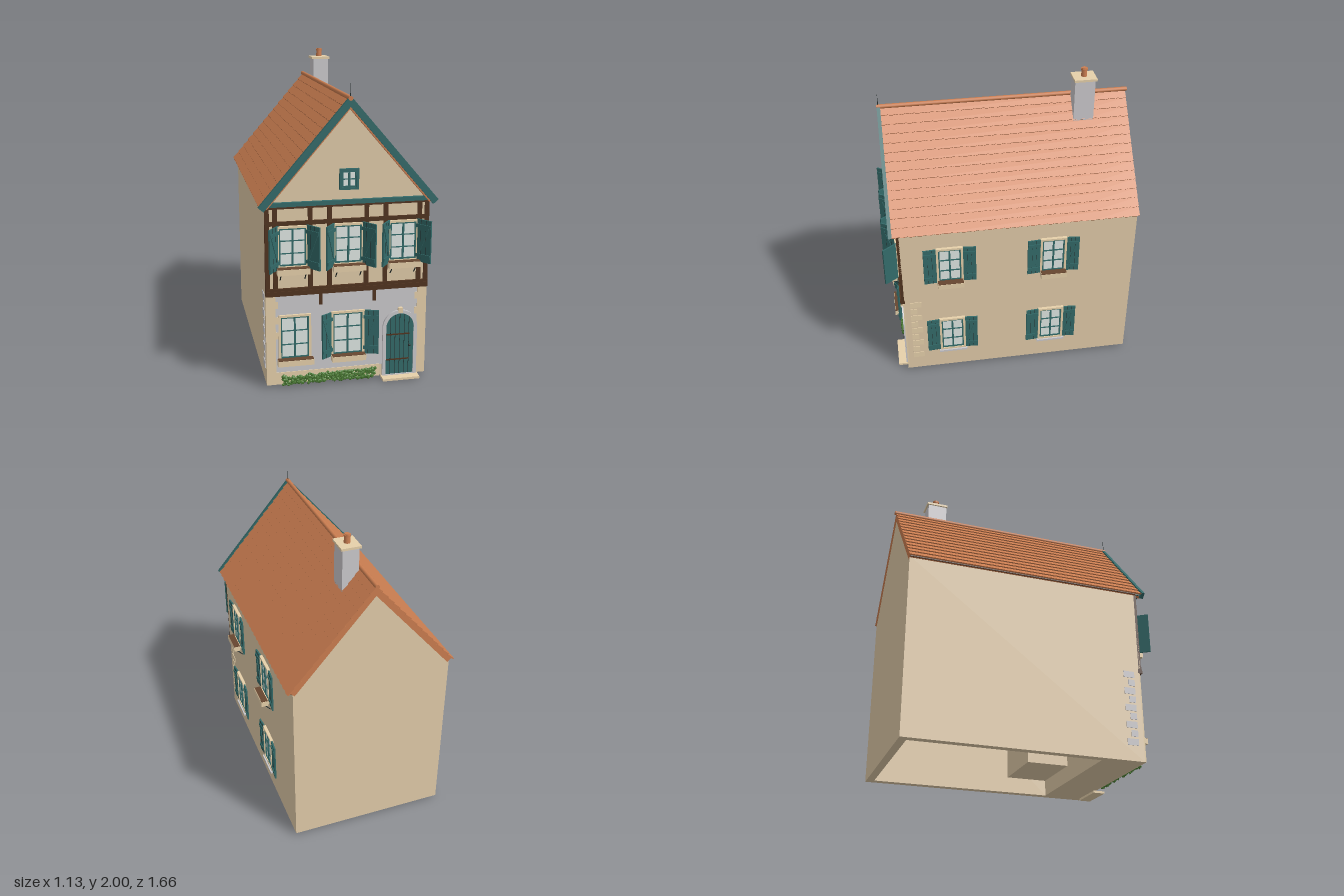
import * as THREE from 'three';

const mat = (name, color) => Object.assign(new THREE.MeshStandardMaterial({ color }), { name });
const M = {
  wall: mat('sand plaster', 0xe0caa8), stone: mat('pale sandstone', 0xe6d0aa),
  grey: mat('grey plaster', 0xcbc9cc), tile: mat('terracotta tile', 0xca7d50),
  teal: mat('teal paint', 0x336a69), wood: mat('dark timber', 0x50331f),
  glass: mat('pale glass', 0xe0e8e4), leaf: mat('hedge green', 0x4d7d36),
  soil: mat('brown soil', 0x664630), iron: mat('dark iron', 0x26302f),
};

function add(parent, name, geo, m, x = 0, y = 0, z = 0) {
  const mesh = new THREE.Mesh(geo, m);
  mesh.name = name;
  mesh.position.set(x, y, z);
  parent.add(mesh);
  return mesh;
}
const box = (p, name, m, w, h, d, x, y, z) => add(p, name, new THREE.BoxGeometry(w, h, d), m, x, y, z);
function group(parent, name, x = 0, y = 0, z = 0, ry = 0) {
  const g = new THREE.Group();
  g.name = name;
  g.position.set(x, y, z);
  g.rotation.y = ry;
  parent.add(g);
  return g;
}
const poly = (pts) => new THREE.Shape(pts.map(([x, y]) => new THREE.Vector2(x, y)));
const extrude = (shape, depth) => new THREE.ExtrudeGeometry(shape, { depth, bevelEnabled: false, curveSegments: 16 });

// Plank shutter hinged on one side of a window (side -1 or 1), opened by angle
function shutter(parent, side, hingeX, w, h, angle) {
  const g = group(parent, 'shutter', hingeX, 0, 0.005, -side * angle);
  const c = side * w / 2;
  box(g, 'shutterPanel', M.teal, w, h, 0.01, c, 0, 0.005);
  for (const f of [-1, 1]) {
    box(g, 'shutterGroove', M.iron, 0.002, h, 0.002, c + f * w / 6, 0, 0.0095);
    box(g, 'shutterBatten', M.teal, w * 0.95, 0.022, 0.006, c, f * h * 0.35, 0.012);
  }
  const brace = box(g, 'shutterBrace', M.teal, 0.014, h * 0.68, 0.005, c, 0, 0.0115);
  brace.rotation.z = -side * Math.atan(w * 0.7 / (h * 0.68));
}

// Glazed window with 2 columns of panes, facing +z, centred on the origin
function casement(parent, w, h, rows = 3, trim = M.stone) {
  const b = 0.014;
  box(parent, 'glass', M.glass, w, h, 0.008, 0, 0, 0.004);
  for (const s of [-1, 1]) {
    box(parent, 'surroundSide', trim, b, h + 2 * b, 0.022, s * (w + b) / 2, 0, 0.009);
    box(parent, 'surroundEnd', trim, w, b, 0.022, 0, s * (h + b) / 2, 0.009);
    box(parent, 'sashSide', M.teal, 0.009, h, 0.014, s * (w / 2 - 0.0045), 0, 0.007);
    box(parent, 'sashEnd', M.teal, w, 0.009, 0.014, 0, s * (h / 2 - 0.0045), 0.007);
  }
  box(parent, 'mullion', M.teal, 0.011, h, 0.016, 0, 0, 0.008);
  for (let i = 1; i < rows; i++) box(parent, 'glazingBar', M.teal, w, 0.006, 0.014, 0, h * (i / rows - 0.5), 0.007);
}

// Window box filled with soil
function planter(parent, w, y) {
  box(parent, 'windowBox', M.stone, w, 0.036, 0.046, 0, y, 0.045);
  box(parent, 'windowBoxSoil', M.soil, w - 0.004, 0.004, 0.042, 0, y + 0.019, 0.045);
}
// Iron brackets under a window box
function brackets(parent, w, y) {
  for (const s of [-1, 1]) {
    const arm = box(parent, 'bracket', M.iron, 0.005, 0.07, 0.005, s * w * 0.38, y - 0.04, 0.028);
    arm.rotation.x = 0.75;
  }
}

export function createModel() {
  const root = new THREE.Group();
  root.name = 'townHouse';
  const CX = -0.02;

  // Hollow walls with a front room block
  const plan = poly([[-0.53, -0.72], [0.49, -0.72], [0.49, 0.81], [-0.53, 0.81]]);
  plan.holes.push(poly([[-0.48, -0.45], [-0.48, 0.76], [0.44, 0.76], [0.44, -0.45]]));
  add(root, 'walls', extrude(plan, 1.16).rotateX(-Math.PI / 2), M.wall, 0, 0.015, 0);
  box(root, 'innerBlock', M.wall, 0.4, 0.5, 0.28, 0.24, 0.37, 0.31);
  box(root, 'innerCeiling', M.wall, 0.92, 0.02, 1.21, CX, 1.15, -0.155);
  const gable = poly([[-0.53, 1.165], [0.49, 1.165], [CX, 1.76]]);
  add(root, 'backGable', extrude(gable, 0.03), M.wall, 0, 0, -0.81);
  add(root, 'frontGable', extrude(gable, 0.045), M.wall, 0, 0, 0.7);

  // Roof: two slopes with overlapping scalloped courses
  const tilt = Math.atan2(0.64, 0.55);
  const rows = 14, step = 0.83 / rows, waves = 29;
  const course = new THREE.Shape();
  course.moveTo(0, -0.795);
  for (let i = 0; i <= waves * 4; i++) {
    course.lineTo(step + 0.005 * Math.abs(Math.sin(i * Math.PI / 4)), -0.795 + 1.59 * i / (waves * 4));
  }
  course.lineTo(0, 0.795);
  const courseGeo = extrude(course, 0.008).rotateX(Math.PI / 2).rotateZ(0.12);
  // Slab parallel to the slope, mitred at the ridge
  const slab = (top, bottom, len, depth) => extrude(poly([
    [-bottom * Math.tan(tilt), bottom], [len, bottom], [len, top], [-top * Math.tan(tilt), top]]), depth);
  for (const s of [1, -1]) {
    const side = group(root, s > 0 ? 'rightRoof' : 'leftRoof', CX, 1.8, -0.02, s > 0 ? 0 : Math.PI);
    const slope = group(side, 'slope');
    slope.rotation.z = -tilt;
    add(slope, 'roofDeck', slab(-0.008, -0.043, 0.815, 1.585), M.tile, 0, 0, -0.7925);
    for (let i = 0; i < rows; i++) add(slope, 'tileCourse', courseGeo, M.tile, i * step, -0.005, 0);
    add(slope, 'bargeBoard', slab(0.008, -0.034, 0.836, 0.022), M.teal, 0, 0, s > 0 ? 0.782 : -0.804);
  }
  const ridge = new THREE.CylinderGeometry(0.014, 0.014, 1.61, 12).rotateX(Math.PI / 2);
  add(root, 'ridgeTile', ridge, M.tile, CX, 1.797, -0.02);
  add(root, 'finial', new THREE.ConeGeometry(0.004, 0.09, 6), M.iron, CX, 1.84, 0.775);
  box(root, 'gableBeam', M.teal, 1.04, 0.026, 0.035, CX, 1.178, 0.75);
  for (const s of [-1, 1]) box(root, 'eavesBoard', M.wood, 0.02, 0.016, 1.54, CX + s * 0.512, 1.176, -0.04);
  casement(group(root, 'atticWindow', CX, 1.315, 0.742), 0.09, 0.1, 2, M.teal);

  // Chimney
  box(root, 'chimneyStack', M.grey, 0.105, 0.28, 0.13, 0.046, 1.79, -0.518);
  box(root, 'chimneyCap', M.stone, 0.126, 0.015, 0.145, 0.046, 1.936, -0.52);
  add(root, 'chimneyPot', new THREE.CylinderGeometry(0.017, 0.02, 0.057, 12), M.tile, 0.046, 1.9715, -0.52);
  add(root, 'chimneyPotRim', new THREE.CylinderGeometry(0.022, 0.022, 0.012, 12), M.tile, 0.046, 1.99, -0.52);

  // Upper front: timber frame with three shuttered windows
  box(root, 'upperPanel', M.wall, 1.02, 0.53, 0.01, CX, 0.9, 0.724);
  box(root, 'sillBeam', M.wood, 1.02, 0.03, 0.03, CX, 0.617, 0.73);
  box(root, 'lowerRail', M.wood, 1.02, 0.018, 0.022, CX, 0.64, 0.73);
  box(root, 'middleRail', M.wood, 1.02, 0.026, 0.018, CX, 1.056, 0.729);
  box(root, 'topRail', M.wood, 1.02, 0.022, 0.02, CX, 1.157, 0.729);
  for (const x of [-0.516, -0.468, -0.253, -0.135, 0.095, 0.215, 0.43, 0.476]) {
    box(root, 'timberPost', M.wood, 0.028, 0.55, 0.018, x, 0.885, 0.728);
  }
  for (const x of [-0.19, 0.15]) box(root, 'beamCorbel', M.wood, 0.02, 0.075, 0.02, x, 0.568, 0.728);
  for (const x of [-0.363, -0.02, 0.325]) {
    const g = group(root, 'upperFrontWindow', x, 0.91, 0.728);
    casement(g, 0.165, 0.235);
    planter(g, 0.2, -0.142);
    brackets(g, 0.2, -0.142);
    for (const s of [-1, 1]) shutter(g, s, s * 0.09, 0.112, 0.27, 0.94);
  }

  // Lower front: plaster, corner piers and plinth
  box(root, 'lowerPlaster', M.grey, 0.9, 0.51, 0.006, CX, 0.345, 0.721);
  box(root, 'plinth', M.stone, 0.66, 0.08, 0.01, -0.14, 0.055, 0.723);
  for (const s of [-1, 1]) {
    box(root, 'cornerPier', M.stone, 0.06, 0.585, 0.01, CX + s * 0.48, 0.3075, 0.723);
    for (let i = 0; i < 3; i++) {
      box(root, 'pierStone', M.stone, 0.02, 0.045, 0.01, CX + s * 0.443, 0.34 + i * 0.1, 0.723);
    }
  }
  const w1 = group(root, 'lowerLeftWindow', -0.352, 0.325, 0.718);
  casement(w1, 0.175, 0.27);
  planter(w1, 0.225, -0.15);
  const w2 = group(root, 'lowerMiddleWindow', -0.018, 0.325, 0.718);
  casement(w2, 0.185, 0.27);
  planter(w2, 0.215, -0.15);
  shutter(w2, -1, -0.1, 0.085, 0.29, 0.55);
  shutter(w2, 1, 0.1, 0.1, 0.29, 0.3);

  // Arched door
  const arch = (r, bottom, spring) => {
    const s = new THREE.Shape();
    s.moveTo(-r, bottom);
    s.lineTo(r, bottom);
    s.lineTo(r, spring);
    s.absarc(0, spring, r, 0, Math.PI, false);
    s.closePath();
    return s;
  };
  const door = group(root, 'door', 0.32, 0, 0.722);
  const surround = arch(0.112, 0.015, 0.34);
  surround.holes.push(arch(0.09, 0.02, 0.34));
  add(door, 'doorSurround', extrude(surround, 0.016), M.grey);
  add(door, 'doorLeaf', extrude(arch(0.09, 0.015, 0.34), 0.008), M.teal);
  for (let i = -2; i <= 2; i++) {
    const h = 0.325 + Math.sqrt(0.0081 - (i * 0.03) ** 2);
    box(door, 'plankGroove', M.iron, 0.003, h, 0.003, i * 0.03, 0.015 + h / 2, 0.008);
  }
  for (const y of [0.12, 0.29]) box(door, 'hingeStrap', M.wood, 0.15, 0.008, 0.005, -0.012, y, 0.01);
  add(door, 'doorKnob', new THREE.SphereGeometry(0.008, 10, 8), M.iron, 0.065, 0.21, 0.014);
  box(door, 'keystone', M.stone, 0.028, 0.034, 0.022, 0, 0.453, 0.011);
  box(root, 'doorstep', M.stone, 0.24, 0.015, 0.08, 0.32, 0.0075, 0.75);

  // Hedge of small flat leaf clumps
  let seed = 7;
  const rnd = () => (seed = (seed * 16807) % 2147483647) / 2147483647;
  const hedge = group(root, 'hedge');
  const leafGeo = new THREE.IcosahedronGeometry(0.013, 0);
  for (let i = 0; i < 300; i++) {
    const leaf = add(hedge, 'leafClump', leafGeo, M.leaf, -0.43 + 0.59 * rnd(), 0.018 + 0.056 * rnd(), 0.735 + 0.015 * rnd());
    leaf.rotation.z = rnd() * 3;
    leaf.scale.set(1, 0.6 + 0.5 * rnd(), 0.5);
  }

  // Right wall: four shuttered windows
  for (const z of [0.41, -0.265]) {
    for (const y of [0.9, 0.31]) {
      const g = group(root, 'sideWindow', 0.49, y, z, Math.PI / 2);
      casement(g, 0.145, 0.245);
      for (const s of [-1, 1]) shutter(g, s, s * 0.086, 0.084, 0.265, 0.08);
      if (y > 0.5) {
        planter(g, 0.17, -0.132);
        brackets(g, 0.17, -0.132);
      } else box(g, 'windowSill', M.grey, 0.19, 0.014, 0.03, 0, -0.142, 0.015);
    }
  }

  // Corner stones on both side walls
  for (const s of [-1, 1]) {
    for (let i = 0; i < 9; i++) {
      const w = i % 2 ? 0.045 : 0.075;
      box(root, 'cornerStone', s > 0 ? M.stone : M.grey, 0.006, 0.042, w, s > 0 ? 0.491 : -0.531, 0.135 + i * 0.056, 0.683 - w / 2);
    }
  }
  return root;
}
